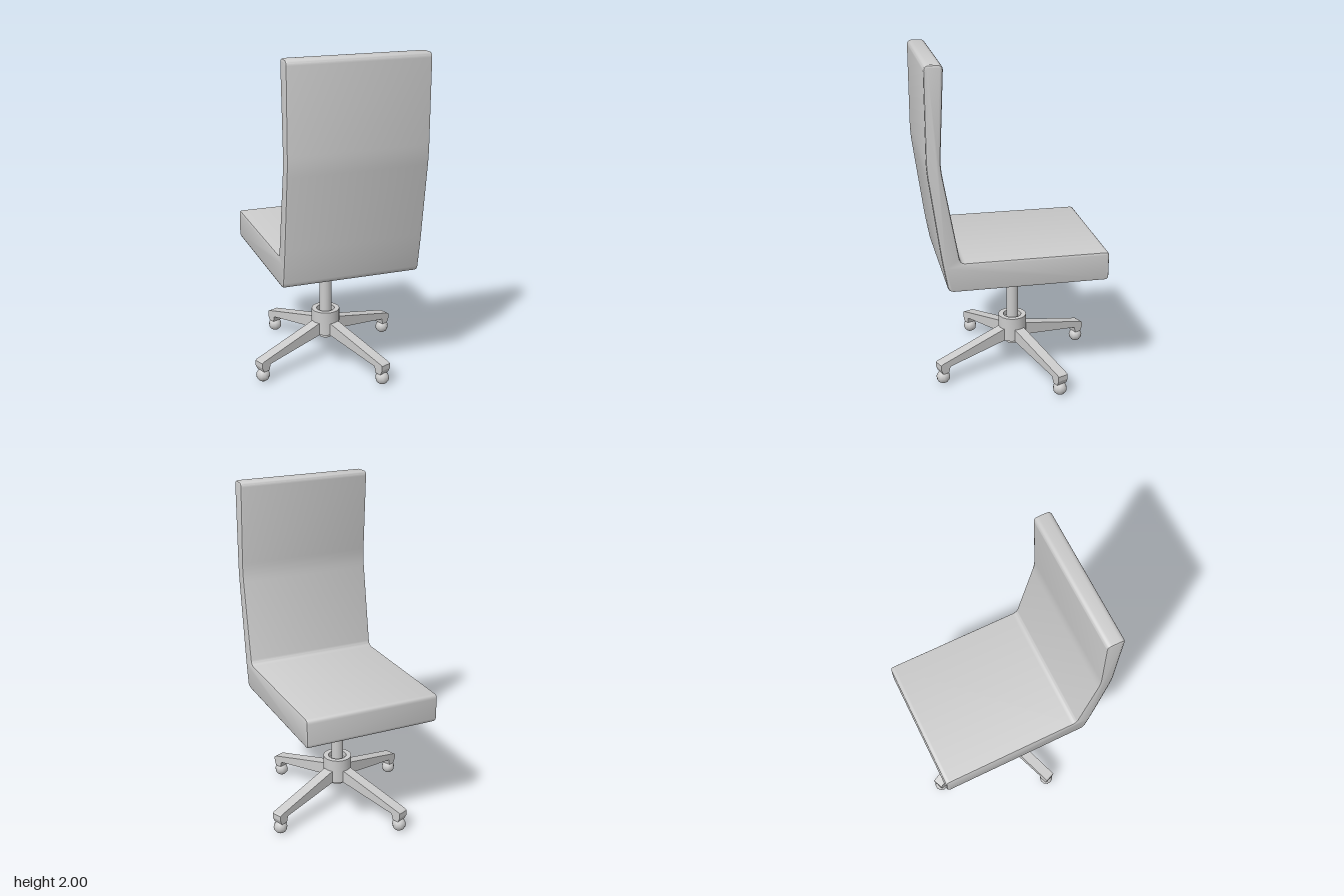
import * as THREE from 'three';
import { toCreasedNormals } from 'three/addons/utils/BufferGeometryUtils.js';

const HUB_Z = -0.025;
const grey = new THREE.MeshStandardMaterial({ color: 0xcccccc });

function part(name, geometry, parent) {
  const mesh = new THREE.Mesh(geometry, grey);
  mesh.name = name;
  parent.add(mesh);
  return mesh;
}

// Closed outline from [x, y, cornerRadius] points, each corner rounded by a curve
function roundedShape(points) {
  const shape = new THREE.Shape();
  points.forEach(([x, y, r], i) => {
    const corner = new THREE.Vector2(x, y);
    const towards = ([px, py]) =>
      new THREE.Vector2(px, py).sub(corner).setLength(r).add(corner);
    const a = towards(points[(i + points.length - 1) % points.length]);
    const b = towards(points[(i + 1) % points.length]);
    if (i === 0) shape.moveTo(a.x, a.y);
    else shape.lineTo(a.x, a.y);
    shape.quadraticCurveTo(x, y, b.x, b.y);
  });
  shape.closePath();
  return shape;
}

// Seat and backrest: one padded side profile (z, y) swept across the width
function shellGeometry() {
  const bevel = 0.014, width = 0.83;
  const profile = roundedShape([
    [-0.517, 0.695, 0.025],
    [0.428, 0.695, 0.035],
    [0.463, 0.89, 0.05],
    [0.537, 1.43, 0.06],
    [0.537, 2.0, 0.03],
    [0.43, 2.0, 0.03],
    [0.458, 1.44, 0.06],
    [0.357, 0.87, 0.03],
    [-0.517, 0.87, 0.025],
  ]);
  const geometry = new THREE.ExtrudeGeometry(profile, {
    depth: width - 2 * bevel, curveSegments: 5,
    bevelEnabled: true, bevelSize: bevel, bevelThickness: bevel,
    bevelOffset: -bevel, bevelSegments: 2,
  });
  geometry.translate(0, 0, -(width / 2 - bevel));
  geometry.rotateY(-Math.PI / 2);
  return toCreasedNormals(geometry, 0.6);
}

// Sloping leg with a short downturned foot, running along +x
function legGeometry() {
  const width = 0.066;
  const shape = new THREE.Shape([
    [0.02, 0.175], [0.09, 0.175], [0.475, 0.113], [0.484, 0.075], [0.525, 0.075],
    [0.538, 0.105], [0.538, 0.135], [0.528, 0.142], [0.085, 0.255], [0.02, 0.255],
  ].map(([x, y]) => new THREE.Vector2(x, y)));
  const geometry = new THREE.ExtrudeGeometry(shape, { depth: width, bevelEnabled: false });
  return geometry.translate(0, 0, -width / 2);
}

export function createModel() {
  const chair = new THREE.Group();
  chair.name = 'officeChair';
  part('seatAndBackrest', shellGeometry(), chair);

  const base = new THREE.Group();
  base.name = 'base';
  base.position.z = HUB_Z;
  chair.add(base);

  // Central column
  part('column', new THREE.CylinderGeometry(0.037, 0.037, 0.56, 16).translate(0, 0.42, 0), base);

  // Hub collar with a shallow recess around the column
  const hubProfile = [[0, 0.178], [0.087, 0.178], [0.087, 0.33], [0.056, 0.33], [0.056, 0.3], [0, 0.3]]
    .map(([x, y]) => new THREE.Vector2(x, y));
  part('hub', toCreasedNormals(new THREE.LatheGeometry(hubProfile, 20), 0.6), base);

  // Four legs, each with a ball caster
  const leg = legGeometry();
  const ball = new THREE.SphereGeometry(0.042, 10, 8).translate(0.508, 0.042, 0);
  for (let i = 0; i < 4; i++) {
    const arm = new THREE.Group();
    arm.name = `legAssembly${i + 1}`;
    arm.rotation.y = Math.PI / 8 + (i * Math.PI) / 2;
    part('leg', leg, arm);
    part('caster', ball, arm);
    base.add(arm);
  }
  return chair;
}
